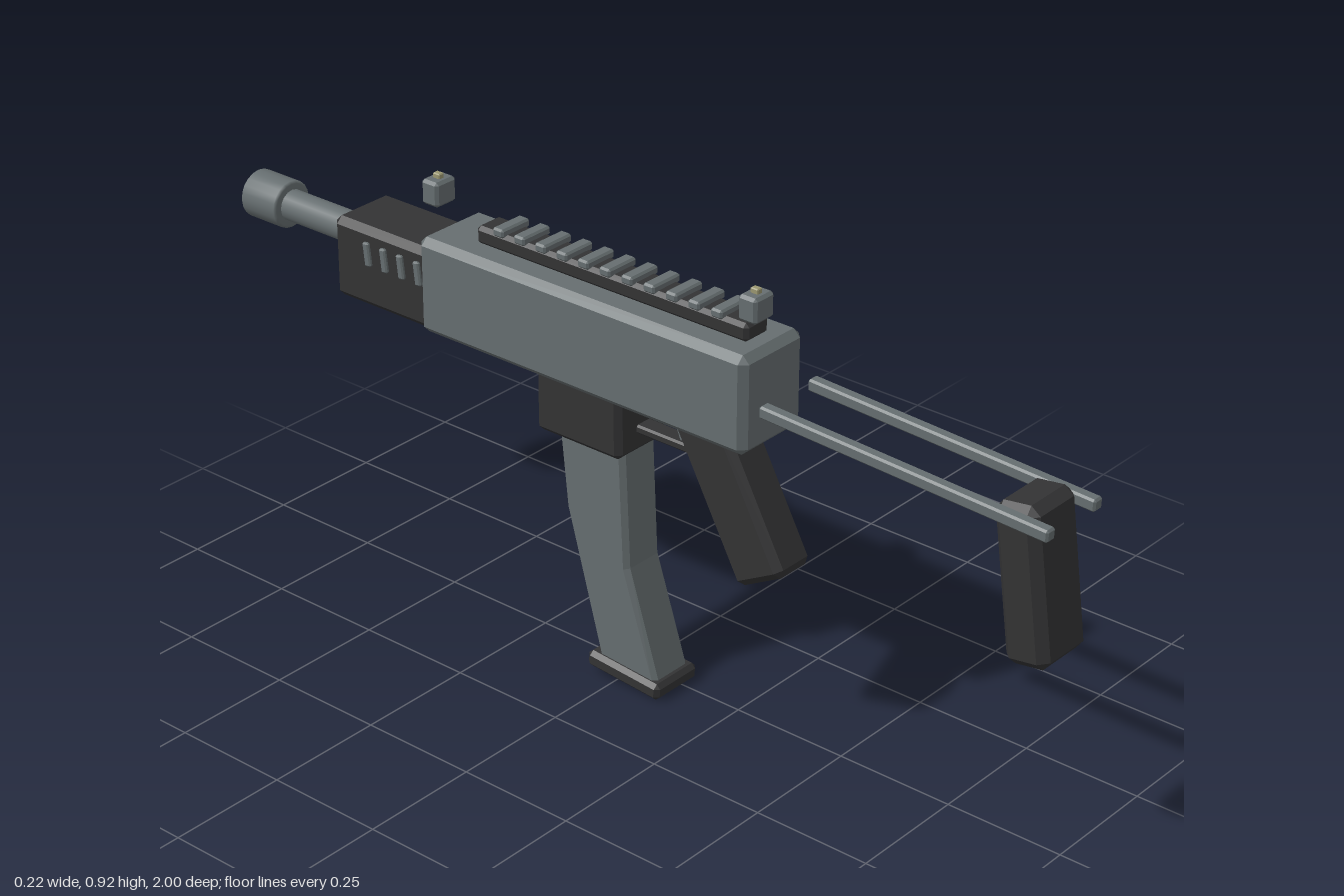
import * as THREE from 'three';
import { ConvexGeometry } from 'three/addons/geometries/ConvexGeometry.js';

const CX = -0.023; // the body's centre line

const mat = (name, color) => {
  const m = new THREE.MeshStandardMaterial({ color });
  m.name = name;
  return m;
};

// Box with every edge chamfered by c
function chamferBox(w, h, d, c) {
  const pts = [];
  for (const sx of [-1, 1]) for (const sy of [-1, 1]) for (const sz of [-1, 1]) {
    const x = w / 2, y = h / 2, z = d / 2;
    pts.push(
      new THREE.Vector3(sx * x, sy * (y - c), sz * (z - c)),
      new THREE.Vector3(sx * (x - c), sy * y, sz * (z - c)),
      new THREE.Vector3(sx * (x - c), sy * (y - c), sz * z));
  }
  return new ConvexGeometry(pts);
}

export function createModel() {
  const model = new THREE.Group();
  model.name = 'compactRifle';
  const steel = mat('steel grey', 0x666e70);
  const black = mat('matte black', 0x333334);
  const bore = mat('bore black', 0x1c1c1d);
  const dot = mat('sight tan', 0x9a9670);

  const add = (name, geo, material, x, y, z, rx = 0) => {
    const m = new THREE.Mesh(geo, material);
    m.name = name;
    m.position.set(x, y, z);
    m.rotation.x = rx;
    model.add(m);
    return m;
  };
  const block = (name, material, size, pos, c = 0.006, rx = 0) =>
    add(name, chamferBox(...size, c), material, ...pos, rx);

  // Receiver and handguard
  block('receiver', steel, [0.176, 0.202, 0.81], [CX, 0.725, -0.065], 0.015);
  block('handguard', black, [0.152, 0.172, 0.26], [CX, 0.71, -0.58], 0.014);
  for (const side of [-1, 1]) {
    for (let i = 0; i < 4; i++) {
      block('vent', steel, [0.012, 0.05, 0.016], [CX + side * 0.077, 0.742, -0.478 - i * 0.045], 0.003, -0.12);
    }
  }

  // Barrel and muzzle, pointing to -z
  const tube = (name, r, z0, z1, material) =>
    add(name, new THREE.CylinderGeometry(r, r, Math.abs(z1 - z0), 16), material, CX, 0.737, (z0 + z1) / 2, -Math.PI / 2);
  tube('barrel', 0.033, -0.7, -0.91, steel);
  const ring = [[0.03, -0.05], [0.045, -0.05], [0.05, -0.045], [0.05, 0.045], [0.045, 0.05], [0.03, 0.05], [0.03, -0.05]];
  const muzzle = new THREE.LatheGeometry(ring.map(p => new THREE.Vector2(...p)), 20);
  add('muzzle', muzzle, steel, CX, 0.737, -0.95, -Math.PI / 2);
  tube('bore', 0.03, -0.91, -0.99, bore);

  // Top rail with cross teeth
  block('railBase', black, [0.066, 0.038, 0.665], [CX, 0.843, -0.032], 0.008);
  for (let i = 0; i < 11; i++) {
    block('railTooth', steel, [0.078, 0.018, 0.027], [CX, 0.866, -0.302 + i * 0.0535], 0.004);
  }

  // Sights
  for (const z of [-0.49, 0.295]) {
    block('sight', steel, [0.056, 0.052, 0.043], [CX, 0.889, z], 0.006);
    block('sightPost', dot, [0.014, 0.014, 0.018], [CX, 0.918, z], 0.002);
  }

  // Ejection port and charging handle on the +x side
  block('ejectionPort', black, [0.012, 0.042, 0.262], [0.064, 0.732, -0.07], 0.003);
  block('chargingHandle', steel, [0.055, 0.03, 0.062], [0.083, 0.78, -0.128], 0.006);

  // Magazine well, curved magazine and base plate
  block('magazineWell', black, [0.144, 0.135, 0.212], [CX, 0.569, -0.077], 0.012);
  const outline = new THREE.Shape([
    [0.018, 0.53], [0.03, 0.26], [0.105, 0.025], [-0.042, 0.035], [-0.128, 0.345], [-0.147, 0.53],
  ].map(p => new THREE.Vector2(...p)));
  const mag = new THREE.ExtrudeGeometry(outline, {
    depth: 0.08, bevelThickness: 0.01, bevelSize: 0.01, bevelOffset: -0.01, bevelSegments: 1,
  });
  mag.translate(0, 0, -0.04).rotateY(-Math.PI / 2);
  add('magazine', mag, steel, CX, 0, 0);
  block('magazineBase', black, [0.123, 0.036, 0.182], [CX, 0.025, 0.025], 0.009, 0.08);

  // Grip, trigger and guard
  block('grip', black, [0.1, 0.345, 0.124], [CX, 0.502, 0.268], 0.014, -0.5);
  block('triggerGuard', black, [0.04, 0.018, 0.16], [CX, 0.553, 0.1], 0.004);
  block('trigger', steel, [0.022, 0.08, 0.026], [CX, 0.594, 0.125], 0.004, -0.4);

  // Skeleton stock: two rods and a butt
  for (const side of [-1, 1]) {
    block('stockRod', steel, [0.025, 0.025, 0.63], [CX + side * 0.071, 0.717, 0.685], 0.004, 0.043);
  }
  block('stockButt', black, [0.136, 0.315, 0.094], [CX, 0.572, 0.935], 0.018, -0.14);

  return model;
}
